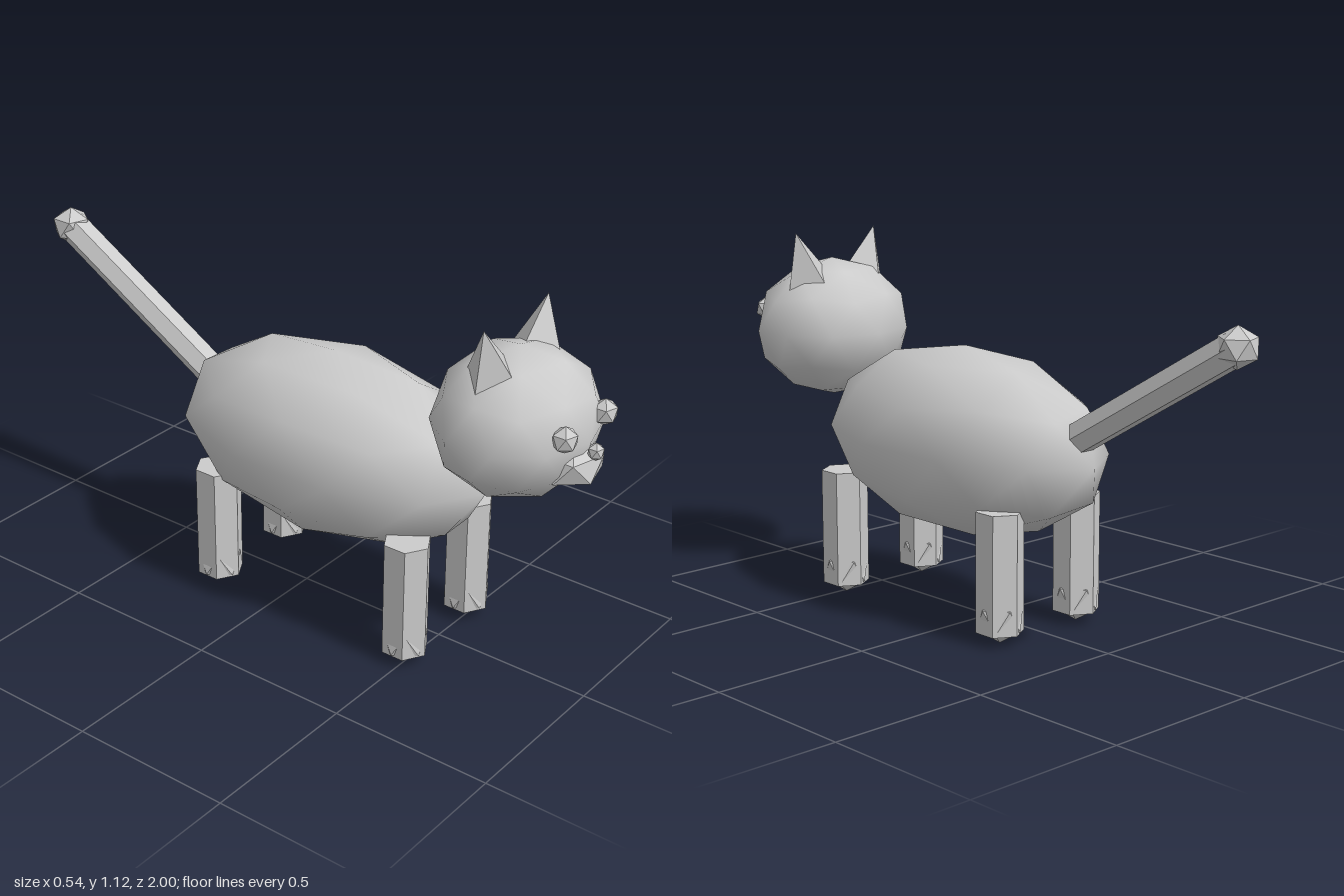
import * as THREE from 'three';

const grey = new THREE.MeshStandardMaterial({ color: 0xcccccc });
const greyFlat = new THREE.MeshStandardMaterial({ color: 0xcccccc, flatShading: true });

// Icosphere with a corner straight up and an upper-ring corner towards +x
function icosphere(name, radii, position, detail = 0) {
  const geometry = new THREE.IcosahedronGeometry(1, detail);
  geometry.rotateX(-Math.atan((1 + Math.sqrt(5)) / 2));
  geometry.rotateY(Math.PI / 2);
  geometry.scale(...radii);
  const mesh = new THREE.Mesh(geometry, detail ? grey : greyFlat);
  mesh.name = name;
  mesh.position.set(...position);
  return mesh;
}

function part(name, geometry, position) {
  const mesh = new THREE.Mesh(geometry, greyFlat);
  mesh.name = name;
  mesh.position.set(...position);
  return mesh;
}

function createLeg(name, x, z) {
  const leg = new THREE.Group();
  leg.name = name;
  leg.position.set(x, 0, z);
  leg.add(part('shin', new THREE.CylinderGeometry(0.072, 0.072, 0.362, 6), [0, 0.216, 0]));
  leg.add(icosphere('paw', [0.076, 0.076, 0.076], [0, 0.076, 0]));
  return leg;
}

// Four-sided cone placed by its tip and leaning outwards
function createEar(name, side) {
  const height = 0.2;
  const geometry = new THREE.ConeGeometry(0.1, height, 4);
  geometry.translate(0, -height / 2, 0);
  const ear = part(name, geometry, [side * 0.158, 1.115, 0.71]);
  ear.rotation.z = -side * 0.3;
  return ear;
}

// Hexagonal rod running between two points, with corners to the sides
function createTail(start, end) {
  const from = new THREE.Vector3(...start);
  const to = new THREE.Vector3(...end);
  const axis = to.clone().sub(from);
  const geometry = new THREE.CylinderGeometry(0.05, 0.05, axis.length(), 6);
  geometry.rotateY(Math.PI / 2);
  const tail = part('tail', geometry, from.add(to).multiplyScalar(0.5).toArray());
  tail.quaternion.setFromUnitVectors(new THREE.Vector3(0, 1, 0), axis.normalize());
  return tail;
}

export function createModel() {
  const cat = new THREE.Group();
  cat.name = 'cat';

  // Body and tail
  cat.add(icosphere('body', [0.286, 0.2875, 0.54], [0, 0.5325, 0.101], 1));
  cat.add(createTail([0, 0.595, -0.35], [0, 0.945, -0.943]));
  cat.add(icosphere('tailTip', [0.062, 0.06, 0.064], [0, 0.945, -0.944]));

  // Head and face
  cat.add(icosphere('head', [0.257, 0.221, 0.232], [0, 0.804, 0.729], 1));
  cat.add(icosphere('muzzle', [0.109, 0.07, 0.09], [0, 0.73, 0.91]));
  cat.add(icosphere('nose', [0.025, 0.027, 0.025], [0, 0.782, 0.978]));

  // Mirrored pairs
  for (const [label, side] of [['left', 1], ['right', -1]]) {
    cat.add(icosphere(`${label}Eye`, [0.041, 0.04, 0.038], [side * 0.102, 0.848, 0.94]));
    cat.add(createEar(`${label}Ear`, side));
    cat.add(createLeg(`${label}FrontLeg`, side * 0.158, 0.487));
    cat.add(createLeg(`${label}BackLeg`, side * 0.158, -0.216));
  }
  return cat;
}
